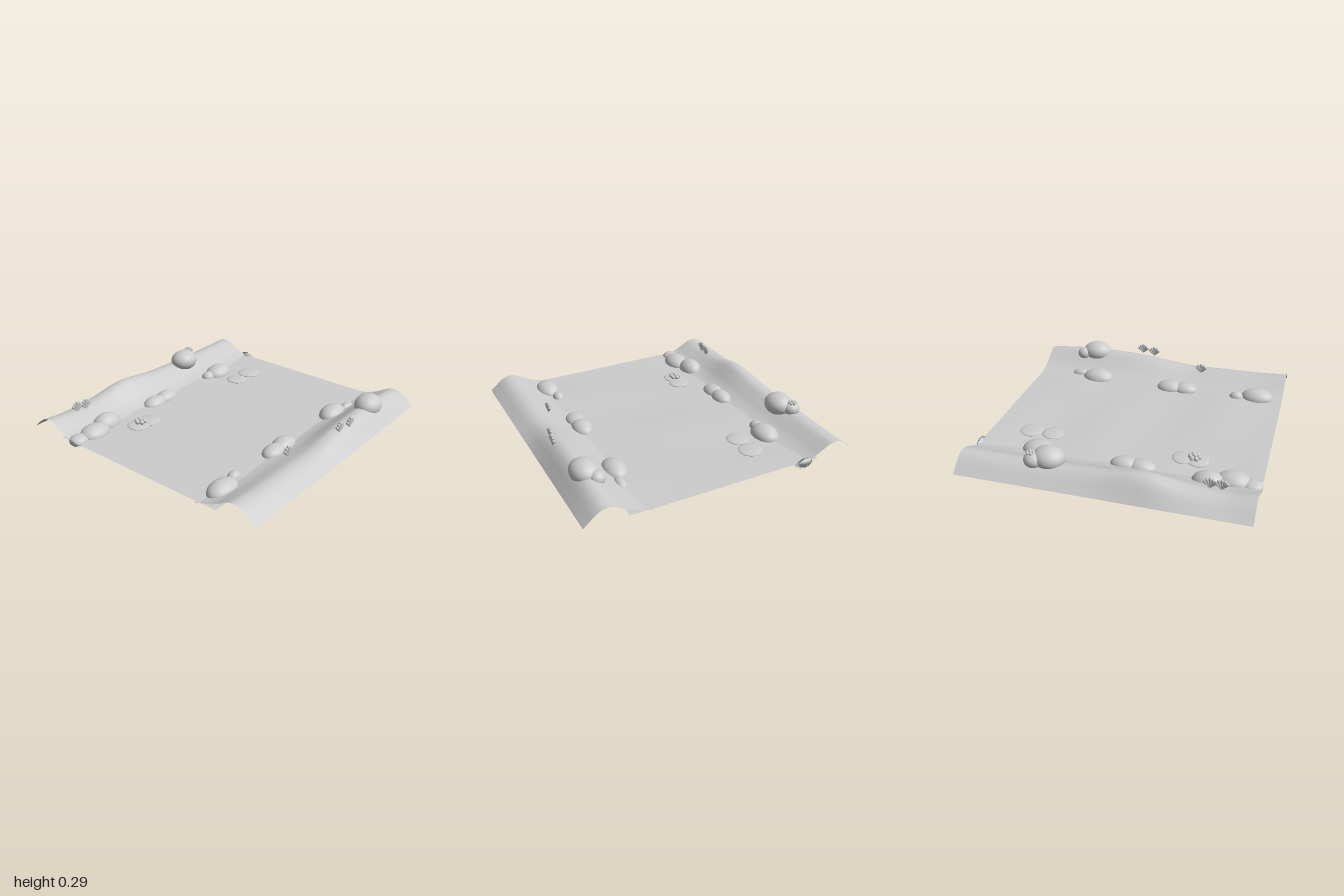
import * as THREE from 'three';

const stone = new THREE.MeshStandardMaterial({ color: 0xcccccc, side: THREE.DoubleSide });
stone.name = 'paleGrey';

function add(parent, name, geometry) {
  const mesh = new THREE.Mesh(geometry, stone);
  mesh.name = name;
  parent.add(mesh);
  return mesh;
}

// Smooth height curve through [position, value] points
function interpolate(points, t) {
  let i = 0;
  while (i < points.length - 2 && t > points[i + 1][0]) i++;
  const at = k => points[Math.max(0, Math.min(points.length - 1, k))];
  const [a, b, c, d] = [at(i - 1), at(i), at(i + 1), at(i + 2)];
  const w = c[0] - b[0], u = Math.max(0, Math.min(1, (t - b[0]) / w));
  const m0 = (c[1] - a[1]) / (c[0] - a[0]) * w;
  const m1 = (d[1] - b[1]) / (d[0] - b[0]) * w;
  const u2 = u * u, u3 = u2 * u;
  return (2 * u3 - 3 * u2 + 1) * b[1] + (u3 - 2 * u2 + u) * m0
    + (3 * u2 - 2 * u3) * c[1] + (u3 - u2) * m1;
}

// Open sheet over the tile between two depths, raised by a height rule
function sheet(z0, z1, rows, height) {
  const g = new THREE.PlaneGeometry(2, z1 - z0, 64, rows);
  g.rotateX(-Math.PI / 2).translate(0, 0, (z0 + z1) / 2);
  const p = g.attributes.position;
  for (let i = 0; i < p.count; i++) p.setY(i, height(p.getX(i), p.getZ(i)));
  g.computeVertexNormals();
  return g;
}

// Bank section: distance from the middle, share of the crest height
const section = [[0.53, -0.2], [0.58, 0], [0.62, 0.1], [0.68, 0.32], [0.74, 0.64], [0.8, 0.94],
  [0.84, 1], [0.88, 0.92], [0.92, 0.68], [0.96, 0.34], [1, 0]];
const frontCrest = [[-1, 0.19], [-0.8, 0.175], [-0.5, 0.168], [-0.2, 0.165], [0.1, 0.205],
  [0.35, 0.222], [0.7, 0.217], [1, 0.19]];
const backCrest = [[-1, 0.19], [-0.8, 0.172], [-0.55, 0.19], [-0.28, 0.235], [0.05, 0.2],
  [0.4, 0.185], [0.7, 0.185], [1, 0.19]];
const bankHeight = crest => (x, z) =>
  0.09 + (interpolate(crest, x) - 0.09) * interpolate(section, Math.abs(z));

// Rocks: x, y, z, then radii; ends are cut flush with the tile
const rocks = [
  [-0.94, 0.09, -0.59, 0.08, 0.04, 0.065], [1.06, 0.09, -0.59, 0.08, 0.04, 0.065],
  [-0.81, 0.09, -0.575, 0.12, 0.07, 0.09], [-0.65, 0.085, -0.625, 0.115, 0.084, 0.085],
  [-0.19, 0.088, -0.58, 0.1, 0.055, 0.07], [-0.065, 0.088, -0.58, 0.1, 0.06, 0.068],
  [0.56, 0.09, -0.565, 0.12, 0.07, 0.09], [0.445, 0.09, -0.575, 0.06, 0.045, 0.05],
  [0.39, 0.205, -0.795, 0.112, 0.08, 0.1], [0.48, 0.2, -0.84, 0.07, 0.055, 0.065],
  [-0.805, 0.09, 0.595, 0.125, 0.07, 0.085], [-0.645, 0.09, 0.56, 0.055, 0.045, 0.042],
  [-0.23, 0.09, 0.575, 0.1, 0.055, 0.07], [-0.105, 0.09, 0.57, 0.105, 0.06, 0.075],
  [0.51, 0.088, 0.585, 0.125, 0.075, 0.085], [0.67, 0.088, 0.615, 0.07, 0.042, 0.04],
  [0.595, 0.21, 0.83, 0.117, 0.08, 0.095], [0.695, 0.2, 0.78, 0.055, 0.05, 0.052],
];

function rockGeometry([x, y, z, rx, ry, rz]) {
  const g = new THREE.SphereGeometry(1, 32, 20).scale(rx, ry, rz).translate(x, y, z);
  const p = g.attributes.position;
  for (let i = 0; i < p.count; i++) p.setX(i, THREE.MathUtils.clamp(p.getX(i), -1, 1));
  return g;
}

// Upright fan of five tapering ribs
function addShell(parent, x, y, z) {
  const shell = new THREE.Group();
  shell.name = 'fanShell';
  for (let i = -2; i <= 2; i++) {
    const length = 0.078 - Math.abs(i) * 0.006;
    const profile = [[0.002, 0], [0.012, length * 0.85], [0.008, length * 0.96], [0, length]];
    const g = new THREE.LatheGeometry(profile.map(q => new THREE.Vector2(...q)), 10);
    add(shell, 'shellRib', g).rotation.z = -i * 0.34;
  }
  shell.position.set(x, y, z);
  parent.add(shell);
}

// Ring of six round petals about a centre bud
function addFlower(parent, x, y, z, size) {
  const flower = new THREE.Group();
  flower.name = 'flower';
  for (let i = 0; i < 6; i++) {
    const a = i * Math.PI / 3;
    const petal = add(flower, 'petal', new THREE.SphereGeometry(0.017, 12, 8));
    petal.position.set(Math.cos(a) * 0.031, 0.017, Math.sin(a) * 0.031);
  }
  add(flower, 'bud', new THREE.SphereGeometry(0.017, 12, 8)).position.y = 0.026;
  flower.position.set(x, y, z);
  flower.scale.setScalar(size);
  parent.add(flower);
}

export function createModel() {
  const model = new THREE.Group();
  model.name = 'riverTile';

  // Rippled water between two banks
  add(model, 'water', sheet(-0.7, 0.7, 40, (x, z) =>
    0.093 + 0.003 * Math.sin(Math.PI * 3 * x + 2.5 * z) + 0.002 * Math.sin(Math.PI * 2 * x - 3 * z)));
  add(model, 'frontBank', sheet(0.53, 1, 40, bankHeight(frontCrest)));
  add(model, 'backBank', sheet(-1, -0.53, 40, bankHeight(backCrest)));

  for (const r of rocks) add(model, 'rock', rockGeometry(r));

  // Floating pads and blossoms
  for (const [x, z] of [[-0.54, -0.41], [-0.435, -0.4], [0.54, -0.35], [0.705, -0.35]]) {
    const r = x > 0.6 ? 0.086 : 0.08;
    add(model, 'lilyPad', new THREE.SphereGeometry(1, 32, 12).scale(r, 0.012, r)).position.set(x, 0.1, z);
  }
  addFlower(model, -0.515, 0.11, -0.408, 1);
  addFlower(model, 0.5, 0.242, -0.838, 0.7);

  // Shells along the crests
  for (const [x, y, z] of [[0.11, 0.207, 0.88], [0.21, 0.212, 0.9], [-0.32, 0.168, 0.75],
    [-0.765, 0.178, -0.8], [-0.69, 0.173, -0.795]]) addShell(model, x, y, z);

  return model;
}
